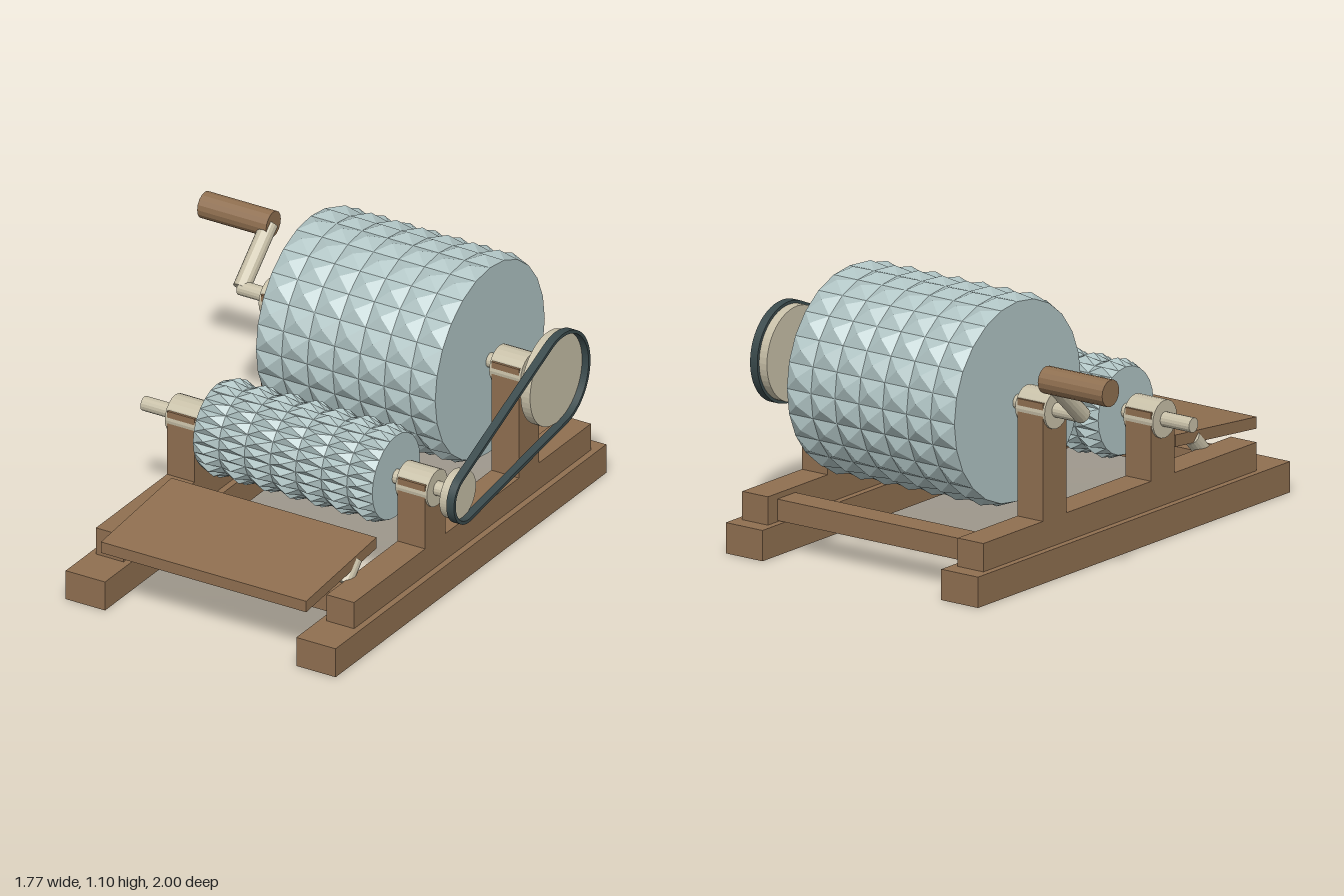
import * as THREE from 'three';

const mat = (name, color, flatShading = true) => new THREE.MeshStandardMaterial({ name, color, flatShading });

export function createModel() {
  const wood = mat('wood', 0x8f6f50);
  const metal = mat('pale metal', 0xc8c0a8);
  const steel = mat('drum steel', 0xb0c4c4);
  const rubber = mat('belt rubber', 0x3a4a4c);
  const root = new THREE.Group();
  root.name = 'rollerMill';

  const add = (name, geometry, material) => {
    const m = new THREE.Mesh(geometry, material);
    m.name = name;
    root.add(m);
    return m;
  };
  // Box given by its limits on each axis
  const box = (name, x0, x1, y0, y1, z0, z1, material = wood) =>
    add(name, new THREE.BoxGeometry(x1 - x0, y1 - y0, z1 - z0), material)
      .position.set((x0 + x1) / 2, (y0 + y1) / 2, (z0 + z1) / 2);
  // Cylinder between two points
  const rod = (name, a, b, r, material, sides = 16) => {
    const p = new THREE.Vector3(...a), q = new THREE.Vector3(...b);
    const dir = q.clone().sub(p);
    const m = add(name, new THREE.CylinderGeometry(r, r, dir.length(), sides), material);
    m.position.copy(p).add(q).multiplyScalar(0.5);
    m.quaternion.setFromUnitVectors(new THREE.Vector3(0, 1, 0), dir.normalize());
    return m;
  };
  // Side profile (-z, y) extruded along x
  const extrudeX = (name, shape, x0, x1, material) => {
    const g = new THREE.ExtrudeGeometry(shape, { depth: x1 - x0, bevelEnabled: false, curveSegments: 32 });
    g.rotateY(Math.PI / 2);
    add(name, g, material).position.x = x0;
  };

  // Drum covered in shallow pyramids
  const drumGeometry = (x0, x1, r, tip, cols = 7, rows = 24) => {
    const pos = [];
    const pt = (x, rad, a) => [x, rad * Math.cos(a), rad * Math.sin(a)];
    const tri = (...p) => p.forEach(v => pos.push(...v));
    const step = 2 * Math.PI / rows, w = (x1 - x0) / cols;
    for (let i = 0; i < rows; i++) {
      const a = i * step, b = a + step;
      for (let j = 0; j < cols; j++) {
        const l = x0 + j * w;
        const c = [pt(l, r, a), pt(l, r, b), pt(l + w, r, b), pt(l + w, r, a)];
        const apex = pt(l + w / 2, tip, a + step / 2);
        for (let k = 0; k < 4; k++) tri(c[k], c[(k + 1) % 4], apex);
      }
      tri([x0, 0, 0], pt(x0, r, b), pt(x0, r, a));
      tri([x1, 0, 0], pt(x1, r, a), pt(x1, r, b));
    }
    const g = new THREE.BufferGeometry();
    g.setAttribute('position', new THREE.Float32BufferAttribute(pos, 3));
    g.computeVertexNormals();
    return g;
  };

  const rollers = [
    { name: 'small', y: 0.477, z: 0.22, r: 0.177, tip: 0.2, pulley: 0.1, start: -0.605 },
    { name: 'large', y: 0.677, z: -0.473, r: 0.405, tip: 0.427, pulley: 0.193, start: -0.595 },
  ];

  // Frame: stepped rails, posts and bearings on each side
  for (const [side, cx] of [['right', -0.392], ['left', 0.663]]) {
    box(side + 'LowerRail', cx - 0.09, cx + 0.09, 0, 0.125, -1, 1);
    box(side + 'UpperRail', cx - 0.063, cx + 0.063, 0.125, 0.24, -0.93, 0.82);
    for (const { name, y, z } of rollers) {
      box(`${side}${name}Post`, cx - 0.063, cx + 0.063, 0.24, y + 0.04, z - 0.075, z + 0.075);
      rod(`${side}${name}Bearing`, [cx - 0.072, y, z], [cx + 0.072, y, z], 0.077, metal, 20);
    }
  }
  box('backCrossBeam', -0.33, 0.6, 0.13, 0.217, -0.87, -0.755);
  box('frontCrossBeam', -0.33, 0.6, 0.13, 0.217, 0.645, 0.76);

  // Rollers with axles and pulleys
  for (const { name, y, z, r, tip, pulley, start } of rollers) {
    add(name + 'Drum', drumGeometry(-0.273, 0.547, r, tip), steel).position.set(0, y, z);
    rod(name + 'Axle', [start, y, z], [0.82, y, z], 0.03, metal);
    rod(name + 'Pulley', [0.807, y, z], [0.85, y, z], pulley, metal, 48);
  }

  // Drive belt: outline around both pulleys with a hole
  const [s, b] = rollers;
  const dz = s.z - b.z, dy = b.y - s.y;
  const loop = (path, rs, rb) => {
    const phi = Math.atan2(dy, dz), beta = Math.acos((rs - rb) / Math.hypot(dz, dy));
    path.absarc(-b.z, b.y, rb, phi - beta, phi + beta, false);
    path.absarc(-s.z, s.y, rs, phi + beta, phi - beta + 2 * Math.PI, false);
    path.closePath();
    return path;
  };
  const belt = loop(new THREE.Shape(), 0.111, 0.205);
  belt.holes.push(loop(new THREE.Path(), 0.097, 0.191));
  extrudeX('driveBelt', belt, 0.845, 0.88, rubber);

  // Crank arm and handle
  rod('crankArm', [-0.59, b.y, b.z], [-0.59, 0.868, -0.68], 0.035, metal);
  rod('crankHandle', [-0.887, 0.868, -0.68], [-0.572, 0.868, -0.68], 0.055, wood);

  // Sloping feed board on two leaning pegs
  const board = new THREE.Shape([[-0.98, 0.236], [-0.46, 0.284], [-0.46, 0.332], [-0.98, 0.284]]
    .map(p => new THREE.Vector2(...p)));
  extrudeX('feedBoard', board, -0.333, 0.606, wood);
  for (const [side, x] of [['right', -0.311], ['left', 0.582]])
    rod(side + 'BoardPeg', [x, 0.215, 0.665], [x, 0.29, 0.59], 0.034, metal);

  return root;
}
